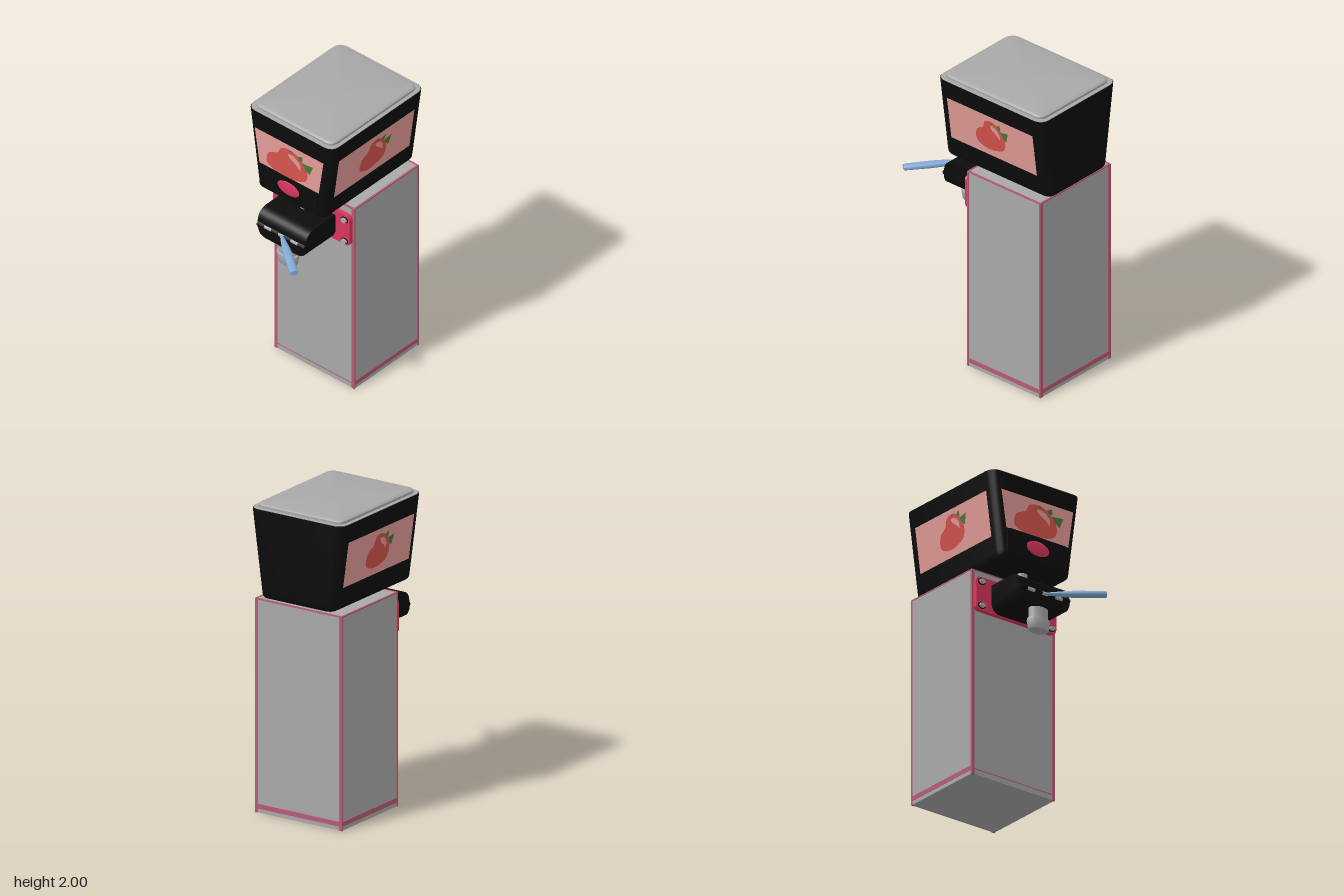
import * as THREE from 'three';
import { toCreasedNormals } from 'three/addons/utils/BufferGeometryUtils.js';

const mat = (name, color) => new THREE.MeshStandardMaterial({ name, color });

export function createModel() {
  const root = new THREE.Group();
  root.name = 'drinkDispenser';
  const grey = mat('steelGrey', 0xa8a8a8), black = mat('black', 0x0c0c0c);
  const pink = mat('raspberry', 0xd8365e), trim = mat('dustyPink', 0xb85a74);
  const pale = mat('palePink', 0xe39c98), red = mat('fruitRed', 0xd6544d);
  const green = mat('leafGreen', 0x4a7a36), blue = mat('handleBlue', 0x82a9d6);

  const add = (name, geo, material, x = 0, y = 0, z = 0, parent = root) => {
    const m = new THREE.Mesh(geo, material);
    m.name = name;
    m.position.set(x, y, z);
    parent.add(m);
    return m;
  };
  const box = (name, material, w, h, d, x, y, z) =>
    add(name, new THREE.BoxGeometry(w, h, d), material, x, y, z);

  // Outline of a rounded rectangle, counter-clockwise seen from +z
  const roundRect = (hx, hy, r) => {
    const pts = [];
    [[1, 1], [-1, 1], [-1, -1], [1, -1]].forEach(([sx, sy], q) => {
      for (let i = 0; i <= 4; i++) {
        const a = (q + i / 4) * Math.PI / 2;
        pts.push(new THREE.Vector2(sx * (hx - r) + r * Math.cos(a), sy * (hy - r) + r * Math.sin(a)));
      }
    });
    return pts;
  };

  // Closed loft through rounded-rectangle levels [y, halfX, halfZ, radius]
  const loft = (levels) => {
    const pos = [], idx = [], n = 20, L = levels.length;
    for (const [y, hx, hz, r] of levels)
      for (const p of roundRect(hx, hz, r)) pos.push(p.x, y, -p.y);
    for (let k = 0; k < L - 1; k++)
      for (let i = 0; i < n; i++) {
        const a = k * n + i, b = k * n + (i + 1) % n;
        idx.push(a, b, b + n, a, b + n, a + n);
      }
    pos.push(0, levels[0][0], 0, 0, levels[L - 1][0], 0);
    for (let i = 0; i < n; i++) {
      const j = (i + 1) % n, top = (L - 1) * n;
      idx.push(L * n, j, i, L * n + 1, top + i, top + j);
    }
    const g = new THREE.BufferGeometry();
    g.setAttribute('position', new THREE.Float32BufferAttribute(pos, 3));
    g.setIndex(idx);
    return toCreasedNormals(g, 0.6);
  };

  // Cabinet with coloured edge trim
  const H = 1.385, cz = -0.26;
  box('cabinet', grey, 0.644, H - 0.004, 0.594, 0, H / 2, cz);
  for (const sx of [-1, 1]) {
    for (const sz of [-1, 1])
      box('cornerTrim', trim, 0.022, H - 0.002, 0.012, sx * 0.314, H / 2, cz + sz * 0.294);
    box('topSideTrim', trim, 0.012, 0.008, 0.6, sx * 0.319, H - 0.004, cz);
    box('baseSideStripe', trim, 0.006, 0.03, 0.6, sx * 0.3215, 0.043, cz);
  }
  for (const sz of [-1, 1])
    box('topEndTrim', trim, 0.648, 0.008, 0.012, 0, H - 0.004, cz + sz * 0.294);
  box('baseBackStripe', trim, 0.648, 0.03, 0.006, 0, 0.043, cz - 0.297);
  box('baseFrontStripe', trim, 0.61, 0.006, 0.006, 0, 0.038, cz + 0.295);

  // Tapered tank with rim and lid
  const tz = -0.16;
  add('tank', loft([
    [1.4, 0.245, 0.4, 0.035], [1.406, 0.262, 0.418, 0.045], [1.42, 0.272, 0.427, 0.05],
    [1.45, 0.277, 0.43, 0.055], [1.972, 0.349, 0.432, 0.06],
  ]), black, 0, 0, tz);
  add('rim', loft([[1.971, 0.346, 0.429, 0.06], [1.976, 0.346, 0.429, 0.06]]), grey, 0, 0, tz);
  add('lid', loft([
    [1.974, 0.321, 0.403, 0.05], [1.99, 0.321, 0.403, 0.05],
    [1.997, 0.314, 0.396, 0.045], [2, 0.3, 0.382, 0.04],
  ]), grey, 0, 0, tz);

  // Fruit picture panels, made of thin flat layers
  const flat = (pts, smooth) => {
    const s = new THREE.Shape();
    const v = pts.map(([x, y]) => new THREE.Vector2(x, y));
    s.setFromPoints(smooth ? new THREE.CatmullRomCurve3(
      v.map((p) => new THREE.Vector3(p.x, p.y, 0)), true).getPoints(48).slice(0, 48)
      .map((p) => new THREE.Vector2(p.x, p.y)) : v);
    return new THREE.ShapeGeometry(s);
  };
  const fruit = [[-0.18, -0.06], [-0.165, 0.015], [-0.09, 0.055], [-0.065, 0.1], [0.01, 0.118],
    [0.1, 0.085], [0.15, 0.01], [0.135, -0.06], [0.04, -0.095], [-0.09, -0.1]];
  const shine = [[-0.005, 0.085], [0.04, 0.085], [0.09, 0.05], [0.095, 0.005], [0.06, 0.03], [0.01, 0.06]];
  const leaves = [
    [[0.07, 0.1], [0.11, 0.12], [0.115, 0.085], [0.09, 0.075]],
    [[0.11, 0.07], [0.2, 0.08], [0.17, 0.01], [0.14, 0.03]],
    [[0, 0.105], [0.02, 0.12], [0.03, 0.1]],
  ];
  const panel = (name, outline, sx, fx) => {
    const g = new THREE.Group();
    g.name = name;
    add('panelBackground', flat(outline), pale, 0, 0, 0, g);
    const art = new THREE.Group();
    art.name = 'fruitPicture';
    art.scale.x = sx;
    art.position.x = fx;
    add('fruit', flat(fruit, true), red, 0, 0, 0.002, art);
    add('fruitShine', flat(shine, true), pale, 0, 0, 0.004, art);
    leaves.forEach((l) => add('leaf', flat(l), green, 0, 0, 0.005, art));
    g.add(art);
    root.add(g);
    return g;
  };
  panel('frontPanel', [[-0.242, -0.1], [0.242, -0.1], [0.28, 0.15], [-0.28, 0.15]], 1, 0)
    .position.set(0, 1.7, 0.275);
  for (const s of [-1, 1]) {
    const p = panel('sidePanel', [[-0.35, -0.15], [0.35, -0.15], [0.35, 0.152], [-0.35, 0.152]], 0.72, 0.0);
    p.position.set(s * 0.316, 1.7, -0.155);
    p.rotation.set(0.137, s * Math.PI / 2, 0, 'YXZ');
  }

  // Lower front plate with a domed oval badge
  const plate = new THREE.ExtrudeGeometry(new THREE.Shape(roundRect(0.235, 0.085, 0.025)),
    { depth: 0.015, bevelEnabled: false });
  add('lowerPlate', plate, black, 0, 1.515, 0.267);
  add('ovalBadge', new THREE.SphereGeometry(1, 24, 12), pink, 0, 1.52, 0.281).scale.set(0.09, 0.05, 0.007);

  // Mounting plate and screws
  const mount = new THREE.ExtrudeGeometry(new THREE.Shape(roundRect(0.312, 0.112, 0.03)),
    { depth: 0.03, bevelEnabled: false });
  add('mountPlate', mount, pink, 0, 1.218, 0.038);
  for (const x of [-0.272, 0.272])
    for (const y of [1.136, 1.297]) {
      const ring = add('screwWasher', new THREE.CylinderGeometry(1, 1, 0.006, 16), black, x, y, 0.07);
      const head = add('screwHead', new THREE.CylinderGeometry(0.85, 1, 0.02, 16), grey, x, y, 0.078);
      ring.rotation.x = head.rotation.x = Math.PI / 2;
      ring.scale.set(0.028, 1, 0.02);
      head.scale.set(0.023, 1, 0.016);
    }

  // Tap body: side profile swept across, lower ends rounded up
  const prof = new THREE.Shape();
  prof.moveTo(0.066, 1.11);
  prof.lineTo(0.345, 1.11);
  prof.lineTo(0.345, 1.2);
  prof.bezierCurveTo(0.345, 1.26, 0.32, 1.292, 0.265, 1.294);
  prof.lineTo(0.066, 1.294);
  const tap = new THREE.ExtrudeGeometry(prof, { depth: 0.39, steps: 24, bevelEnabled: false, curveSegments: 8 });
  tap.rotateY(-Math.PI / 2).translate(0.195, 0, 0);
  // the profile's x now runs along +z
  const tp = tap.attributes.position;
  for (let i = 0; i < tp.count; i++) {
    const t = Math.min(1, Math.max(0, (Math.abs(tp.getX(i)) - 0.125) / 0.07));
    tp.setY(i, Math.max(tp.getY(i), 1.11 + 0.055 * (1 - Math.sqrt(1 - t * t))));
  }
  add('tapBody', toCreasedNormals(tap, 0.6), black);

  // Feed pipe and nozzle
  add('feedPipe', new THREE.CylinderGeometry(0.034, 0.034, 0.14, 20), grey, 0, 1.35, 0.13)
    .scale.z = 0.75;
  const nozzle = new THREE.LatheGeometry([[0, 0.965], [0.066, 0.965], [0.071, 0.972], [0.081, 1.025],
    [0.078, 1.037], [0.067, 1.04], [0.067, 1.13]].map(([r, y]) => new THREE.Vector2(r, y)), 24);
  add('nozzle', toCreasedNormals(nozzle, 0.6), grey, 0, 0, 0.285).scale.z = 0.68;

  // Hinge with knuckles
  const bar = (name, r, len, x, material) => {
    add(name, new THREE.CylinderGeometry(r, r, len, 12), material, x, 1.195, 0.34).rotation.z = Math.PI / 2;
  };
  bar('hingePin', 0.014, 0.37, 0, grey);
  for (const x of [-0.165, -0.05, 0.05, 0.165]) bar('hingeKnuckle', 0.018, 0.055, x, black);

  // Lever handle, flattened and widening outward
  const lever = new THREE.LatheGeometry([[0, 0], [0.012, 0], [0.017, 0.05], [0.027, 0.13], [0.03, 0.2],
    [0.027, 0.365], [0.024, 0.375], [0, 0.375]].map(([r, y]) => new THREE.Vector2(r, y)), 20);
  const handle = add('leverHandle', toCreasedNormals(lever, 0.6), blue, 0.008, 1.193, 0.35);
  handle.scale.z = 0.7;
  handle.rotation.set(Math.PI / 2, 0, -0.92, 'XYZ');
  return root;
}
